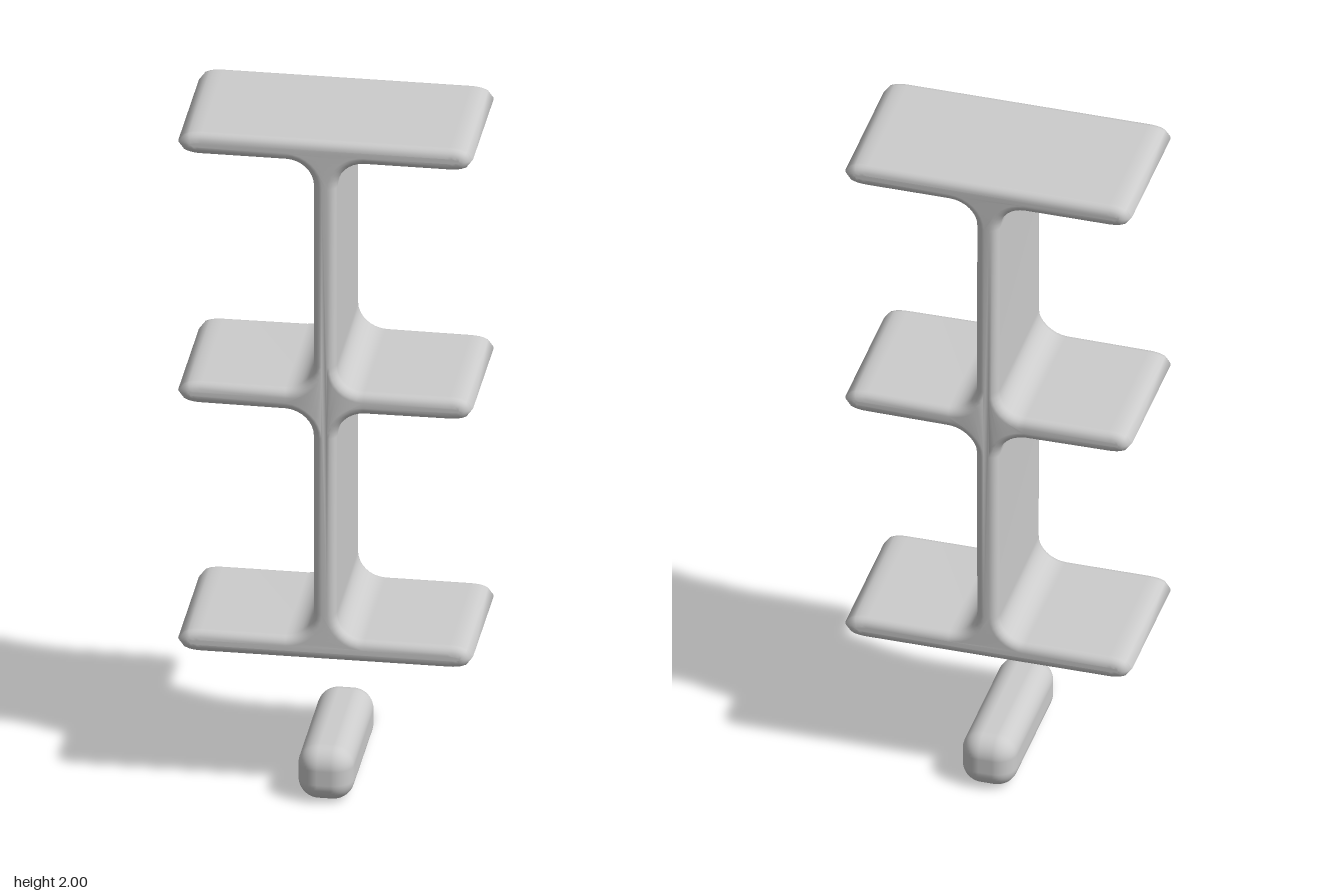
import * as THREE from 'three';
import { mergeVertices } from 'three/addons/utils/BufferGeometryUtils.js';
import { RoundedBoxGeometry } from 'three/addons/geometries/RoundedBoxGeometry.js';

const BEVEL = 0.025;
const SHELVES = [0.4605, 1.2125, 1.9675];

// Outline of the right half, drawn inside the final surface by the bevel size
function halfOutline() {
  const h = 0.0325 - BEVEL; // half thickness of a shelf
  const w = 0.032 - BEVEL; // half thickness of the upright
  const r = 0.1; // fillet
  const points = [];
  const arc = (cx, cy, rx, ry, from, to, n) => {
    for (let i = 0; i <= n; i++) {
      const a = from + ((to - from) * i) / n;
      points.push(new THREE.Vector2(cx + rx * Math.cos(a), cy + ry * Math.sin(a)));
    }
  };
  SHELVES.forEach((y, i) => {
    if (i > 0) arc(w + r, y - h - r, r, r, Math.PI, Math.PI / 2, 8);
    arc(0.34, y, 0.035, h, -Math.PI / 2, Math.PI / 2, 10);
    if (i < 2) arc(w + r, y + h + r, r, r, -Math.PI / 2, -Math.PI, 8);
  });
  return points;
}

// Three shelves and the upright as one softly rounded body
function frameGeometry() {
  const right = halfOutline();
  const left = right.map((p) => new THREE.Vector2(-p.x, p.y)).reverse();
  const geometry = new THREE.ExtrudeGeometry(new THREE.Shape([...right, ...left]), {
    depth: 0.43 - 2 * BEVEL,
    bevelSize: BEVEL,
    bevelThickness: BEVEL,
    bevelSegments: 5,
  });
  geometry.translate(0, 0, BEVEL - 0.215);

  // slight swelling where the middle shelf crosses the upright
  const pos = geometry.attributes.position;
  for (let i = 0; i < pos.count; i++) {
    const d = Math.hypot(pos.getX(i), pos.getY(i) - SHELVES[1]);
    pos.setZ(i, pos.getZ(i) * (1 + 0.05 * Math.exp(-((d / 0.1) ** 2))));
  }
  geometry.deleteAttribute('uv');
  geometry.deleteAttribute('normal');
  const smooth = mergeVertices(geometry, 1e-5);
  smooth.computeVertexNormals();
  return smooth;
}

export function createModel() {
  const group = new THREE.Group();
  const grey = new THREE.MeshStandardMaterial({ color: 0xcccccc });
  grey.name = 'light grey';

  const frame = new THREE.Mesh(frameGeometry(), grey);
  frame.name = 'shelvesAndUpright';
  group.add(frame);

  // Separate rounded bar below the shelves
  const bar = new THREE.Mesh(new RoundedBoxGeometry(0.154, 0.158, 0.46, 6, 0.058), grey);
  bar.name = 'lowerBar';
  bar.position.y = 0.079;
  group.add(bar);

  return group;
}
